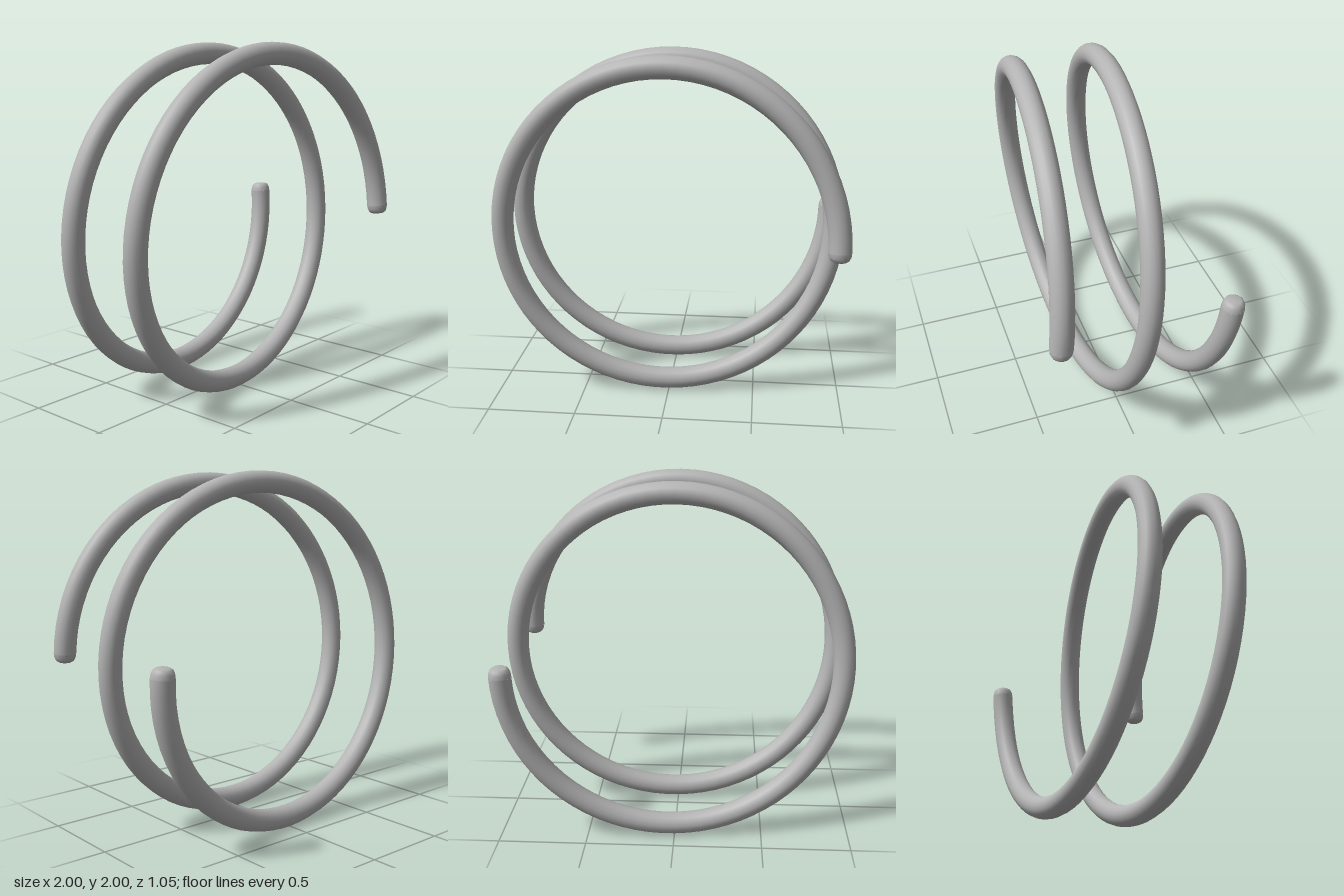
import * as THREE from 'three';

const COIL_RADIUS = 0.937, WIRE_RADIUS = 0.062, TURNS = 2, PITCH = 0.465;

// Helix around the z axis, from front to back, centred at y = 1
class Helix extends THREE.Curve {
  getPoint(t, target = new THREE.Vector3()) {
    const a = t * TURNS * Math.PI * 2;
    return target.set(
      COIL_RADIUS * Math.cos(a),
      1 + COIL_RADIUS * Math.sin(a),
      PITCH * TURNS * (0.5 - t)
    );
  }
}

export function createModel() {
  const model = new THREE.Group();
  model.name = 'coilSpring';
  const grey = new THREE.MeshStandardMaterial({ color: 0xb4b4b4 });
  grey.name = 'grey';

  // Coiled wire
  const helix = new Helix();
  const wire = new THREE.Mesh(new THREE.TubeGeometry(helix, 160, WIRE_RADIUS, 16, false), grey);
  wire.name = 'coiledWire';
  model.add(wire);

  // Blunt rounded caps on both wire ends
  const profile = [[WIRE_RADIUS, 0], [0.059, 0.022], [0.05, 0.041], [0.036, 0.05], [0, 0.052]]
    .map(([r, y]) => new THREE.Vector2(r, y));
  const capGeometry = new THREE.LatheGeometry(profile, 16);
  for (const [name, t, sign] of [['frontEndCap', 0, -1], ['backEndCap', 1, 1]]) {
    const cap = new THREE.Mesh(capGeometry, grey);
    cap.name = name;
    cap.position.copy(helix.getPoint(t));
    const outward = helix.getTangent(t).multiplyScalar(sign);
    cap.quaternion.setFromUnitVectors(new THREE.Vector3(0, 1, 0), outward);
    model.add(cap);
  }
  return model;
}
